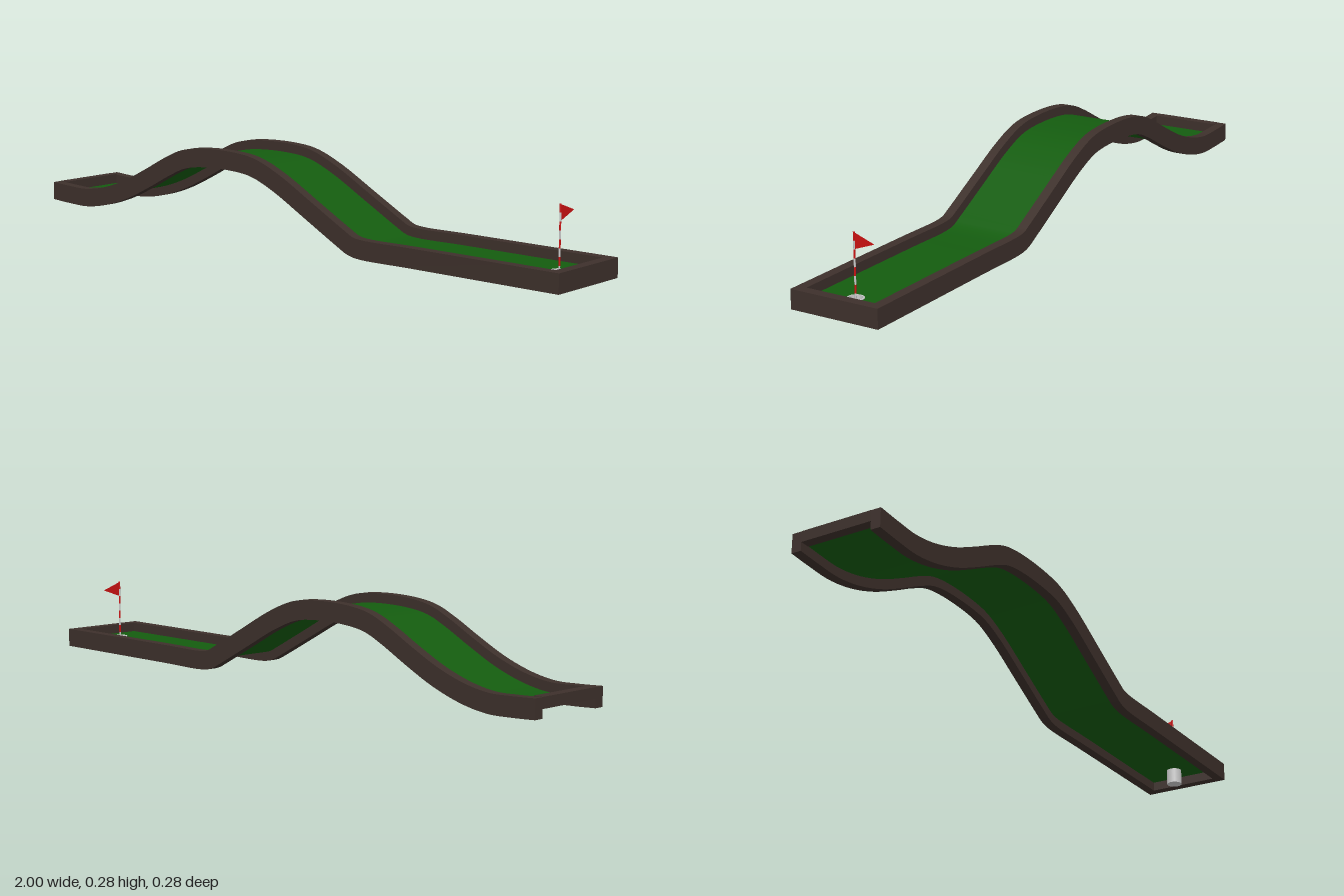
import * as THREE from 'three';

const mat = (color, extra = {}) => new THREE.MeshStandardMaterial({ color, ...extra });
const wood = mat(0x3d302b, { flatShading: true });
const turf = mat(0x145c0f, { side: THREE.DoubleSide });
const grey = mat(0xcccccc, { side: THREE.DoubleSide });
const dark = mat(0x2a2a2e);
const red = mat(0xcc1111, { side: THREE.DoubleSide });
const white = mat(0xdddddd);

const HALF = 0.0285;        // half the rail height
const INNER = 0.11, OUTER = 0.14;
const FLAT_Y = 0.048;       // mid height of the flat putting end
const HOLE_X = 0.905;

// Side profile of the lane: dip, hump, then a flat run
const path = new THREE.CatmullRomCurve3([
  [-1, 0.07], [-0.92, 0.066], [-0.84, 0.065], [-0.75, 0.08], [-0.65, 0.113], [-0.55, 0.16],
  [-0.46, 0.206], [-0.39, 0.235], [-0.3, 0.2485], [-0.16, 0.2485], [-0.09, 0.238],
  [0, 0.203], [0.12, 0.14], [0.25, 0.071], [0.285, 0.054], [0.32, FLAT_Y], [0.5, FLAT_Y], [1, FLAT_Y],
].map(([x, y]) => new THREE.Vector3(x, y, 0)), false, 'centripetal');

const STEPS = 102;
const samples = Array.from({ length: STEPS + 1 }, (_, i) => {
  const t = i / STEPS, p = path.getPoint(t), d = path.getTangent(t);
  const end = i === 0 || i === STEPS;
  return { x: p.x, y: p.y, nx: end ? 0 : -d.y, ny: end ? 1 : d.x };
});

function add(parent, name, geometry, material, x = 0, y = 0, z = 0) {
  const mesh = new THREE.Mesh(geometry, material);
  mesh.name = name;
  mesh.position.set(x, y, z);
  parent.add(mesh);
  return mesh;
}

// Rail outline is the path offset to both sides, extruded across z
function railGeometry() {
  const offset = (h) => samples.map((s) => new THREE.Vector2(s.x + s.nx * h, s.y + s.ny * h));
  const shape = new THREE.Shape([...offset(-HALF), ...offset(HALF).reverse()]);
  return new THREE.ExtrudeGeometry(shape, { depth: OUTER - INNER, bevelEnabled: false });
}

// Thin ribbon of turf following the path up to the putting end
function ribbonGeometry(endX) {
  const pts = samples.filter((s) => s.x < endX);
  pts.push({ x: endX, y: FLAT_Y });
  const g = new THREE.PlaneGeometry(1, 2 * INNER, pts.length - 1, 1).rotateX(-Math.PI / 2);
  const pos = g.attributes.position;
  for (let i = 0; i < pos.count; i++) {
    const p = pts[i % pts.length];
    pos.setXY(i, p.x, p.y);
  }
  g.computeVertexNormals();
  return g;
}

export function createModel() {
  const model = new THREE.Group();
  model.name = 'miniGolfLane';

  // Wooden border
  const rail = railGeometry();
  add(model, 'leftSideRail', rail, wood, 0, 0, INNER);
  add(model, 'rightSideRail', rail, wood, 0, 0, -OUTER);
  add(model, 'holeEndBoard', new THREE.BoxGeometry(0.03, 2 * HALF, 2 * INNER), wood, 0.985, FLAT_Y);
  add(model, 'startEndBoard', new THREE.BoxGeometry(0.03, 0.032, 2 * INNER), wood, -0.985, 0.083);

  // Turf, with the hole cut out of the putting end
  const splitX = 0.8;
  add(model, 'turfRun', ribbonGeometry(splitX), turf);
  const green = new THREE.Shape();
  green.moveTo(splitX, -INNER).lineTo(0.975, -INNER).lineTo(0.975, INNER).lineTo(splitX, INNER);
  green.closePath();
  green.holes.push(new THREE.Path().absarc(HOLE_X, 0, 0.022, 0, Math.PI * 2, true));
  add(model, 'puttingGreen', new THREE.ShapeGeometry(green, 24).rotateX(-Math.PI / 2), turf, 0, FLAT_Y);

  // Cup with a thin rim
  const cup = [[0, 0], [0.024, 0], [0.024, 0], [0.024, 0.05], [0.024, 0.05], [0.02, 0.05], [0.02, 0.05], [0.02, 0.008]];
  add(model, 'cup', new THREE.LatheGeometry(cup.map(([r, y]) => new THREE.Vector2(r, y)), 24), grey, HOLE_X);
  add(model, 'cupFloor', new THREE.CylinderGeometry(0.02, 0.02, 0.004, 24), dark, HOLE_X, 0.008);

  // Striped pole and pennant
  const flagstick = new THREE.Group();
  flagstick.name = 'flagstick';
  flagstick.position.x = HOLE_X;
  const stripe = 0.0242, top = 0.231;
  for (let i = 0; i < 9; i++) {
    add(flagstick, 'poleStripe', new THREE.CylinderGeometry(0.0027, 0.0027, stripe, 10),
      i % 2 ? white : red, 0, top - stripe * (i + 0.5));
  }
  const pennant = new THREE.Shape([[0, 0.183], [0.065, 0.207], [0, 0.23]].map(([x, y]) => new THREE.Vector2(x, y)));
  add(flagstick, 'flag', new THREE.ShapeGeometry(pennant).rotateY(Math.PI / 2), red);
  model.add(flagstick);

  return model;
}
